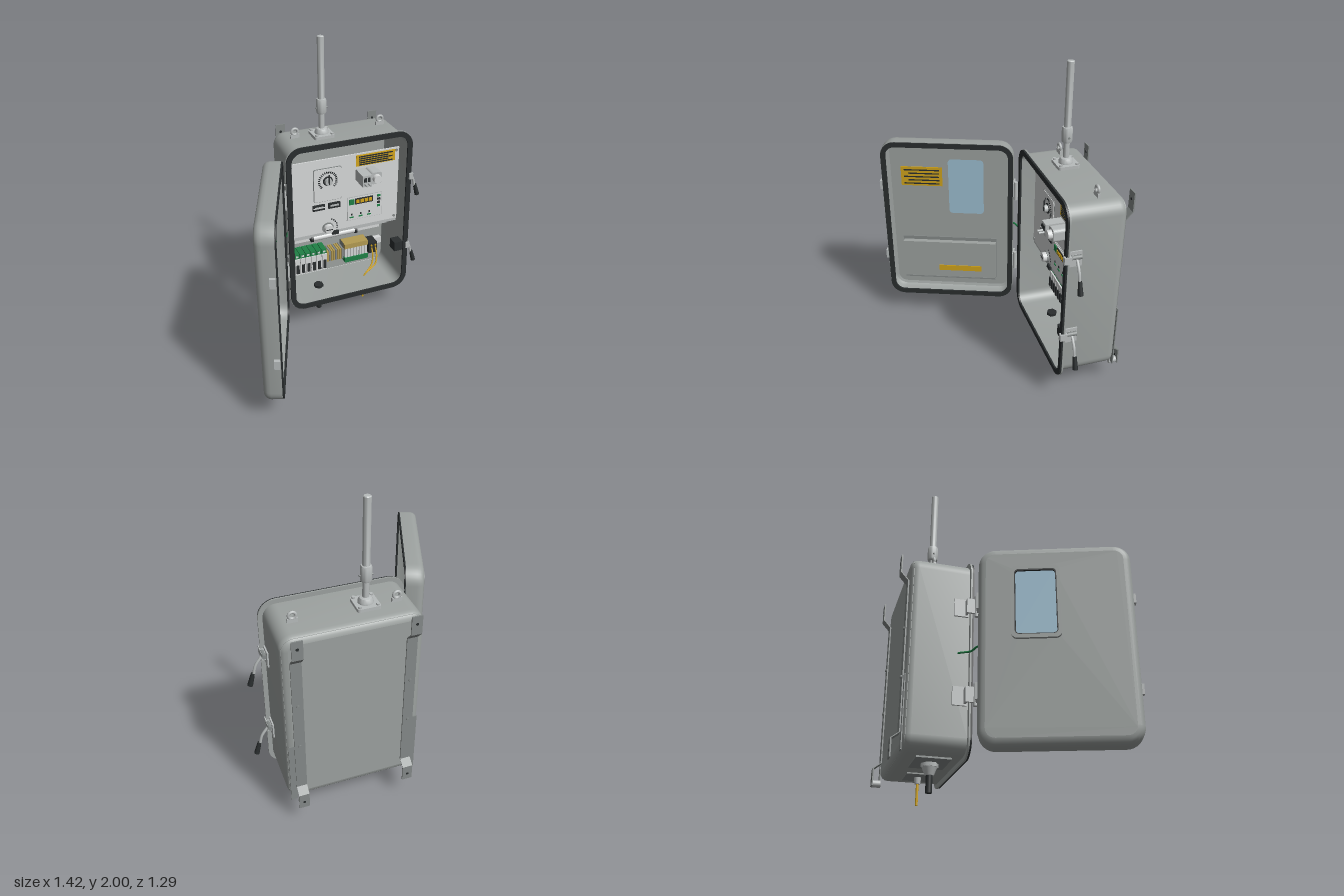
import * as THREE from 'three';
import { toCreasedNormals } from 'three/addons/utils/BufferGeometryUtils.js';

const mat = (name, color, side = THREE.FrontSide) => {
  const m = new THREE.MeshStandardMaterial({ color, side });
  m.name = name;
  return m;
};

// Rounded rectangle outline, counter-clockwise, always the same point count
function outline(w, h, r, cx = 0, cy = 0) {
  const pts = [];
  [[1, 1], [-1, 1], [-1, -1], [1, -1]].forEach(([sx, sy], q) => {
    for (let i = 0; i <= 8; i++) {
      const a = (q + i / 8) * Math.PI / 2;
      pts.push(new THREE.Vector2(cx + sx * (w / 2 - r) + r * Math.cos(a), cy + sy * (h / 2 - r) + r * Math.sin(a)));
    }
  });
  return pts;
}

// Skin through rounded rectangles; each ring is [inset, z]
function loft(w, h, r, rings) {
  const pos = [], index = [];
  let n = 0;
  rings.forEach(([inset, z], k) => {
    const pts = outline(w - 2 * inset, h - 2 * inset, Math.max(r - inset, 0.01));
    n = pts.length;
    pts.forEach((p, j) => {
      pos.push(p.x, p.y, z);
      if (k === 0) return;
      const a = (k - 1) * n + j, b = (k - 1) * n + (j + 1) % n;
      index.push(a, b, b + n, a, b + n, a + n);
    });
  });
  const g = new THREE.BufferGeometry();
  g.setAttribute('position', new THREE.Float32BufferAttribute(pos, 3));
  g.setIndex(index);
  return toCreasedNormals(g, 0.6);
}

function slab(w, h, r, depth, hole) {
  const s = new THREE.Shape(outline(w, h, r));
  if (hole) s.holes.push(new THREE.Path(outline(...hole)));
  return depth ? new THREE.ExtrudeGeometry(s, { depth, bevelEnabled: false }) : new THREE.ShapeGeometry(s);
}

function add(parent, name, geo, material, x = 0, y = 0, z = 0) {
  const m = new THREE.Mesh(geo, material);
  m.name = name;
  m.position.set(x, y, z);
  parent.add(m);
  return m;
}
// Box from its extents
const box = (p, name, m, x0, x1, y0, y1, z0, z1) =>
  add(p, name, new THREE.BoxGeometry(x1 - x0, y1 - y0, z1 - z0), m, (x0 + x1) / 2, (y0 + y1) / 2, (z0 + z1) / 2);
const cyl = (p, name, m, rTop, rBottom, h, x, y, z, axis = 'y', sides = 20) => {
  const c = add(p, name, new THREE.CylinderGeometry(rTop, rBottom, h, sides), m, x, y, z);
  if (axis === 'z') c.rotation.x = Math.PI / 2;
  if (axis === 'x') c.rotation.z = Math.PI / 2;
  return c;
};
const tube = (p, name, m, pts, r) => add(p, name, new THREE.TubeGeometry(
  new THREE.CatmullRomCurve3(pts.map(v => new THREE.Vector3(...v))), 20, r, 8), m);

export function createModel() {
  const root = new THREE.Group();
  root.name = 'controlCabinet';
  const paint = mat('grey paint', 0x9da2a0, THREE.DoubleSide);
  const light = mat('light panel', 0xd6d8d8);
  const metal = mat('pale metal', 0xb8bcbc);
  const steel = mat('dark steel', 0x858a89);
  const black = mat('black rubber', 0x2a2e2f);
  const yellow = mat('yellow', 0xd2a51c);
  const tan = mat('tan', 0xb39b52);
  const green = mat('green', 0x1f8046);
  const glass = mat('blue glass', 0x9dbfd2, THREE.DoubleSide);

  // Warning label with printed bars, facing dir along z
  const label = (p, x0, x1, y0, y1, z, dir) => {
    const g = new THREE.Group();
    g.name = 'warningLabel';
    p.add(g);
    box(g, 'labelPlate', yellow, x0, x1, y0, y1, z - 0.003, z + 0.003);
    for (let i = 0; i < 5; i++) {
      const y = y1 - (y1 - y0) * (i + 0.9) / 5.6, zz = z + dir * 0.004;
      box(g, 'labelBar', black, x0 + 0.02, x1 - (i % 2 ? 0.05 : 0.02), y - 0.004, y + 0.004, zz - 0.002, zz + 0.002);
    }
  };

  // Cabinet shell
  const CX = 0.164, CY = 0.7625, W = 0.828, H = 1.175;
  const shell = new THREE.Group();
  shell.name = 'cabinet';
  shell.position.set(CX, CY, 0);
  root.add(shell);
  add(shell, 'cabinetShell', loft(W, H, 0.08, [[0.045, -0.6], [0.026, -0.596], [0.012, -0.586], [0.003, -0.571], [0, -0.553],
    [0, -0.247], [-0.028, -0.247], [-0.028, -0.237], [0.01, -0.237], [0.01, -0.585]]), paint);
  add(shell, 'cabinetBack', slab(W - 0.09, H - 0.09, 0.035), paint, 0, 0, -0.6);
  add(shell, 'cabinetBackLining', slab(W - 0.02, H - 0.02, 0.07), paint, 0, 0, -0.585);
  add(shell, 'cabinetGasket', loft(W, H, 0.08, [[-0.025, -0.237], [-0.025, -0.226], [0.01, -0.226], [0.01, -0.237]]), black);

  // Control panel
  const P = new THREE.Group();
  P.name = 'controlPanel';
  root.add(P);
  const PZ = -0.33;
  box(P, 'panelPlate', light, -0.235, 0.557, 0.673, 1.22, PZ - 0.01, PZ);
  box(P, 'panelFold', metal, -0.235, 0.557, 0.65, 0.674, PZ - 0.05, PZ - 0.005);
  for (const x of [-0.215, 0.537]) for (const y of [0.695, 1.2]) cyl(P, 'panelScrew', steel, 0.009, 0.009, 0.01, x, y, PZ, 'z');
  add(P, 'dialPlateEdge', slab(0.2, 0.243, 0.015, 0.004), steel, 0.037, 1.036, PZ);
  add(P, 'dialPlate', slab(0.192, 0.235, 0.013, 0.008), light, 0.037, 1.036, PZ);
  for (let i = 0; i < 22; i++) {
    const a = -0.75 + i / 21 * 4.65;
    const t = box(P, 'dialTick', black, -0.007, 0.007, -0.003, 0.003, -0.002, 0.002);
    t.position.set(0.037 + 0.062 * Math.cos(a), 1.065 + 0.062 * Math.sin(a), PZ + 0.01);
    t.rotation.z = a;
  }
  cyl(P, 'dialRing', black, 0.034, 0.034, 0.012, 0.037, 1.065, PZ + 0.008, 'z');
  cyl(P, 'dialKnob', metal, 0.024, 0.026, 0.035, 0.037, 1.065, PZ + 0.018, 'z');
  box(P, 'dialPointer', black, 0.033, 0.041, 1.05, 1.12, PZ + 0.03, PZ + 0.038);
  label(P, 0.24, 0.525, 1.13, 1.21, PZ + 0.003, 1);
  box(P, 'socketBody', metal, 0.24, 0.305, 1.03, 1.11, PZ, -0.21);
  for (const x of [0.258, 0.284]) {
    box(P, 'socketSlot', black, x - 0.009, x + 0.009, 1.065, 1.095, -0.212, -0.206);
    cyl(P, 'socketPin', metal, 0.007, 0.007, 0.05, x, 1.05, -0.2, 'z');
  }
  add(P, 'switchHousing', slab(0.078, 0.085, 0.02, 0.1), metal, 0.348, 1.07, PZ);
  cyl(P, 'switchKnob', light, 0.028, 0.03, 0.03, 0.348, 1.07, -0.218, 'z');
  for (const x of [-0.07, 0.04]) {
    box(P, 'portFrame', black, x, x + 0.085, 0.855, 0.895, PZ, PZ + 0.012);
    box(P, 'portFace', metal, x + 0.012, x + 0.073, 0.87, 0.883, PZ + 0.01, PZ + 0.015);
  }
  box(P, 'portBar', light, -0.07, 0.015, 0.873, 0.877, PZ + 0.01, PZ + 0.017);
  // Controller
  box(P, 'controllerEdge', metal, 0.177, 0.437, 0.728, 0.907, PZ, PZ + 0.005);
  box(P, 'controllerFace', light, 0.182, 0.432, 0.733, 0.902, PZ, PZ + 0.01);
  box(P, 'controllerKey', green, 0.188, 0.226, 0.853, 0.892, PZ, PZ + 0.016);
  box(P, 'controllerDisplay', black, 0.232, 0.366, 0.85, 0.894, PZ, PZ + 0.014);
  for (let i = 0; i < 4; i++) box(P, 'displayDigit', yellow, 0.24 + i * 0.031, 0.264 + i * 0.031, 0.86, 0.885, PZ + 0.012, PZ + 0.018);
  for (let i = 0; i < 4; i++) {
    box(P, 'controllerButton', i % 3 ? black : green, 0.398, 0.42, 0.802 + i * 0.026, 0.816 + i * 0.026, PZ, PZ + 0.016);
    if (i < 3) {
      box(P, 'statusLight', green, 0.195 + i * 0.065, 0.225 + i * 0.065, 0.75, 0.758, PZ, PZ + 0.014);
      box(P, 'statusMark', black, 0.205 + i * 0.065, 0.215 + i * 0.065, 0.768, 0.782, PZ, PZ + 0.014);
    }
  }
  // Selector
  cyl(P, 'selectorRing', steel, 0.04, 0.04, 0.01, 0.037, 0.705, PZ + 0.004, 'z');
  cyl(P, 'selectorKnob', light, 0.03, 0.034, 0.035, 0.037, 0.705, PZ + 0.018, 'z');
  box(P, 'selectorPointer', black, 0.015, 0.06, 0.702, 0.708, PZ + 0.034, PZ + 0.038);
  for (let i = 0; i < 6; i++) {
    const a = -0.2 + i * 0.27;
    cyl(P, 'selectorMark', black, 0.005, 0.005, 0.006, 0.037 + 0.068 * Math.cos(a), 0.705 + 0.068 * Math.sin(a), PZ + 0.001, 'z', 8);
  }
  box(P, 'panelCatch', black, 0.068, 0.115, 0.645, 0.672, PZ - 0.01, PZ + 0.012);

  // Wiring bay
  const B = new THREE.Group();
  B.name = 'wiringBay';
  root.add(B);
  box(B, 'cableDuct', metal, -0.235, 0.557, 0.55, 0.645, -0.585, -0.48);
  for (let i = 0; i < 24; i++) box(B, 'ductSlot', black, -0.207 + i * 0.03, -0.187 + i * 0.03, 0.578, 0.613, -0.482, -0.476);
  box(B, 'mountingStrip', light, -0.22, 0.535, 0.477, 0.53, -0.585, -0.56);
  cyl(B, 'lampTube', light, 0.021, 0.021, 0.32, 0.142, 0.54, -0.49, 'x');
  for (const x of [-0.025, 0.31]) {
    cyl(B, 'lampEnd', black, 0.026, 0.026, 0.018, x, 0.54, -0.49, 'x');
    box(B, 'lampFoot', steel, x - 0.008, x + 0.008, 0.525, 0.555, -0.58, -0.49);
  }
  box(B, 'rail', light, -0.22, 0.55, 0.34, 0.388, -0.585, -0.55);
  for (let i = 0; i < 7; i++) {
    const x = -0.208 + i * 0.041;
    box(B, 'breaker', light, x, x + 0.037, 0.285, 0.412, -0.57, -0.45);
    box(B, 'breakerTerminal', green, x, x + 0.037, 0.41, 0.447, -0.56, -0.46);
    box(B, 'breakerScrew', light, x + 0.01, x + 0.027, 0.423, 0.436, -0.47, -0.457);
    box(B, 'breakerToggle', black, x + 0.008, x + 0.029, 0.297, 0.365, -0.46, -0.442);
  }
  for (let i = 0; i < 8; i++) box(B, 'terminalSlice', i % 3 === 1 ? steel : tan, 0.087 + i * 0.0165, 0.1 + i * 0.0165, 0.32, 0.405, -0.57, -0.48);
  box(B, 'relayBase', steel, 0.222, 0.405, 0.3, 0.435, -0.57, -0.5);
  box(B, 'relayCover', tan, 0.222, 0.405, 0.4, 0.438, -0.56, -0.47);
  box(B, 'relayTerminals', green, 0.222, 0.405, 0.288, 0.325, -0.56, -0.465);
  for (let i = 0; i < 8; i++) box(B, 'relay', light, 0.225 + i * 0.0225, 0.243 + i * 0.0225, 0.328, 0.4, -0.55, -0.47);
  box(B, 'supplyBlock', black, 0.415, 0.482, 0.32, 0.405, -0.57, -0.47);
  for (const x of [0.435, 0.465]) {
    cyl(B, 'supplyPin', yellow, 0.007, 0.007, 0.01, x, 0.385, -0.468, 'z', 8);
    tube(B, 'supplyWire', yellow, [[x, 0.37, -0.465], [x, 0.31, -0.44], [x - 0.02, 0.25, -0.42], [0.36, 0.2, -0.4], [0.338, 0.17, -0.4]], 0.006);
  }
  cyl(B, 'floorNut', black, 0.035, 0.035, 0.02, -0.012, 0.195, -0.4, 'y', 6);
  box(B, 'doorSwitch', black, 0.505, 0.572, 0.455, 0.525, -0.31, -0.235);

  // Mast on the roof
  const mast = new THREE.Group();
  mast.name = 'mast';
  mast.position.set(0.037, 0, -0.425);
  root.add(mast);
  const base = add(mast, 'mastPlate', slab(0.138, 0.138, 0.015, 0.022), metal, 0, 1.348, 0);
  base.rotation.x = -Math.PI / 2;
  for (const x of [-0.053, 0.053]) for (const z of [-0.053, 0.053]) cyl(mast, 'mastBolt', metal, 0.011, 0.011, 0.012, x, 1.375, z, 'y', 6);
  add(mast, 'mastPole', toCreasedNormals(new THREE.LatheGeometry([[0.045, 1.365], [0.045, 1.38], [0.034, 1.4], [0.019, 1.405], [0.019, 1.5],
    [0.03, 1.505], [0.033, 1.515], [0.033, 1.59], [0.029, 1.6], [0.022, 1.602], [0.022, 1.996], [0.018, 2], [0, 2]].map(p => new THREE.Vector2(...p)), 28), 0.6), metal);
  cyl(mast, 'collarScrew', steel, 0.006, 0.006, 0.08, 0, 1.54, 0, 'x', 8);

  // Lifting eyes
  for (const x of [-0.138, 0.462]) {
    box(root, 'liftingEyeFoot', metal, x - 0.03, x + 0.03, 1.345, 1.375, -0.458, -0.442);
    add(root, 'liftingEye', new THREE.TorusGeometry(0.02, 0.009, 8, 20), metal, x, 1.392, -0.45);
  }

  // Wall brackets and back corner strips
  const bend = [[0.135, -0.648], [0.24, -0.648], [0.275, -0.603], [1.2, -0.603], [1.25, -0.648], [1.37, -0.648]];
  const strip = new THREE.Shape([...bend.map(([y, z]) => [-z, y]), ...bend.map(([y, z]) => [-z + 0.008, y]).reverse()].map(p => new THREE.Vector2(...p)));
  for (const x of [-0.172, 0.497]) {
    const b = add(root, 'wallBracket', new THREE.ExtrudeGeometry(strip, { depth: 0.064, bevelEnabled: false }), steel, x - 0.032, 0, 0);
    b.rotation.y = Math.PI / 2;
    for (const y of [0.6, 0.9]) cyl(root, 'bracketScrew', steel, 0.01, 0.01, 0.012, x, y, -0.613, 'z', 8);
    for (const y of [0.18, 1.32]) cyl(root, 'bracketHole', black, 0.009, 0.009, 0.012, x, y, -0.652, 'z', 10);
  }
  for (const x of [-0.235, 0.523]) box(root, 'cornerStrip', steel, x, x + 0.04, 0.17, 0.6, -0.604, -0.598);
  cyl(root, 'earthBolt', metal, 0.022, 0.022, 0.05, 0.5, 0.15, -0.625, 'z');

  // Cable entries underneath
  box(root, 'entryPlate', steel, -0.13, 0.11, 0.165, 0.178, -0.5, -0.3);
  box(root, 'smallEntryPlate', steel, 0.25, 0.43, 0.167, 0.178, -0.48, -0.32);
  cyl(root, 'glandNut', metal, 0.05, 0.05, 0.025, -0.012, 0.155, -0.4, 'y', 6);
  cyl(root, 'glandDome', metal, 0.045, 0.026, 0.05, -0.012, 0.122, -0.4);
  cyl(root, 'mainCable', black, 0.019, 0.019, 0.11, -0.012, 0.055, -0.4);
  cyl(root, 'smallGland', metal, 0.022, 0.017, 0.04, 0.338, 0.148, -0.4);
  cyl(root, 'thinCable', yellow, 0.008, 0.008, 0.14, 0.338, 0.07, -0.4, 'y', 10);

  // Latches and hinges at two heights
  for (const y of [1.035, 0.49]) {
    const L = new THREE.Group();
    L.name = 'latch';
    L.position.y = y;
    root.add(L);
    box(L, 'latchPlate', metal, 0.575, 0.587, -0.05, 0.05, -0.33, -0.245);
    box(L, 'latchHook', metal, 0.585, 0.612, -0.015, 0.03, -0.3, -0.215);
    cyl(L, 'latchPivot', steel, 0.014, 0.014, 0.06, 0.6, 0.02, -0.29, 'z');
    tube(L, 'latchLever', metal, [[0.59, 0.025, -0.29], [0.62, -0.005, -0.29], [0.65, -0.05, -0.29], [0.665, -0.11, -0.29]], 0.009);
    const grip = cyl(L, 'latchGrip', black, 0.012, 0.017, 0.085, 0.679, -0.14, -0.29, 'y', 12);
    grip.rotation.z = 0.27;
    box(root, 'hingeLeaf', metal, -0.262, -0.248, y - 0.055, y + 0.055, -0.34, -0.255);
    box(root, 'hingeArm', metal, -0.296, -0.255, y - 0.045, y + 0.045, -0.275, -0.262);
    box(root, 'hingeLink', metal, -0.304, -0.29, y - 0.045, y + 0.045, -0.275, -0.215);
    cyl(root, 'hingePin', metal, 0.013, 0.013, 0.13, -0.298, y, -0.217);
  }

  // Open door: local x runs from hinge to free edge, local +z is the outside
  const door = new THREE.Group();
  door.name = 'door';
  door.position.set(-0.3, CY, -0.2);
  door.rotation.y = -1.93;
  root.add(door);
  const DW = 0.88, DH = 1.195, MX = DW / 2, wx = 0.328, wy = 0.233;
  const hole = [0.24, 0.41, 0.025, wx - MX, wy];
  add(door, 'doorShell', loft(DW, DH, 0.1, [[0.04, 0.107], [0.022, 0.1], [0.012, 0.08], [0.012, 0.008], [0, 0.008], [0, 0.075], [0.004, 0.093],
    [0.013, 0.108], [0.027, 0.117], [0.045, 0.12]]), paint, MX);
  add(door, 'doorInnerFace', slab(DW - 0.08, DH - 0.08, 0.06, 0, hole), paint, MX, 0, 0.107);
  add(door, 'doorOuterFace', slab(DW - 0.09, DH - 0.09, 0.055, 0, hole), paint, MX, 0, 0.12);
  add(door, 'doorGasket', loft(DW, DH, 0.1, [[0.036, 0.012], [0.036, 0], [0.003, 0], [0.003, 0.012], [0.036, 0.012]]), black, MX);
  add(door, 'windowPane', slab(0.25, 0.42, 0.025, 0.004), glass, wx, wy, 0.114);
  add(door, 'windowFrame', slab(0.28, 0.455, 0.035, 0.02, [0.24, 0.41, 0.025]), paint, wx, wy, 0.119);
  add(door, 'windowSeal', slab(0.246, 0.416, 0.028, 0.012, [0.228, 0.398, 0.02]), black, wx, wy, 0.122);
  label(door, 0.489, 0.77, 1.0 - CY, 1.14 - CY, 0.103, -1);
  box(door, 'pocketBack', steel, 0.12, 0.785, 0.27 - CY, 0.595 - CY, 0.1, 0.106);
  box(door, 'documentPocket', paint, 0.124, 0.78, 0.28 - CY, 0.57 - CY, 0.066, 0.104);
  box(door, 'pocketLip', steel, 0.124, 0.78, 0.272 - CY, 0.282 - CY, 0.064, 0.104);
  box(door, 'pocketStrip', yellow, 0.225, 0.53, 0.338 - CY, 0.38 - CY, 0.061, 0.067);
  for (const y of [1.04, 0.49]) {
    box(door, 'doorHingeLeaf', metal, -0.012, 0.002, y - 0.05 - CY, y + 0.05 - CY, 0, 0.075);
    box(door, 'doorCatch', metal, DW - 0.002, DW + 0.018, y - 0.03 - CY, y + 0.03 - CY, 0.012, 0.045);
  }

  // Earth lead between door and cabinet
  tube(root, 'earthLead', green, [[-0.385, 0.755, -0.205], [-0.34, 0.76, -0.225], [-0.285, 0.755, -0.245], [-0.258, 0.75, -0.3], [-0.245, 0.75, -0.31]], 0.006);
  return root;
}
